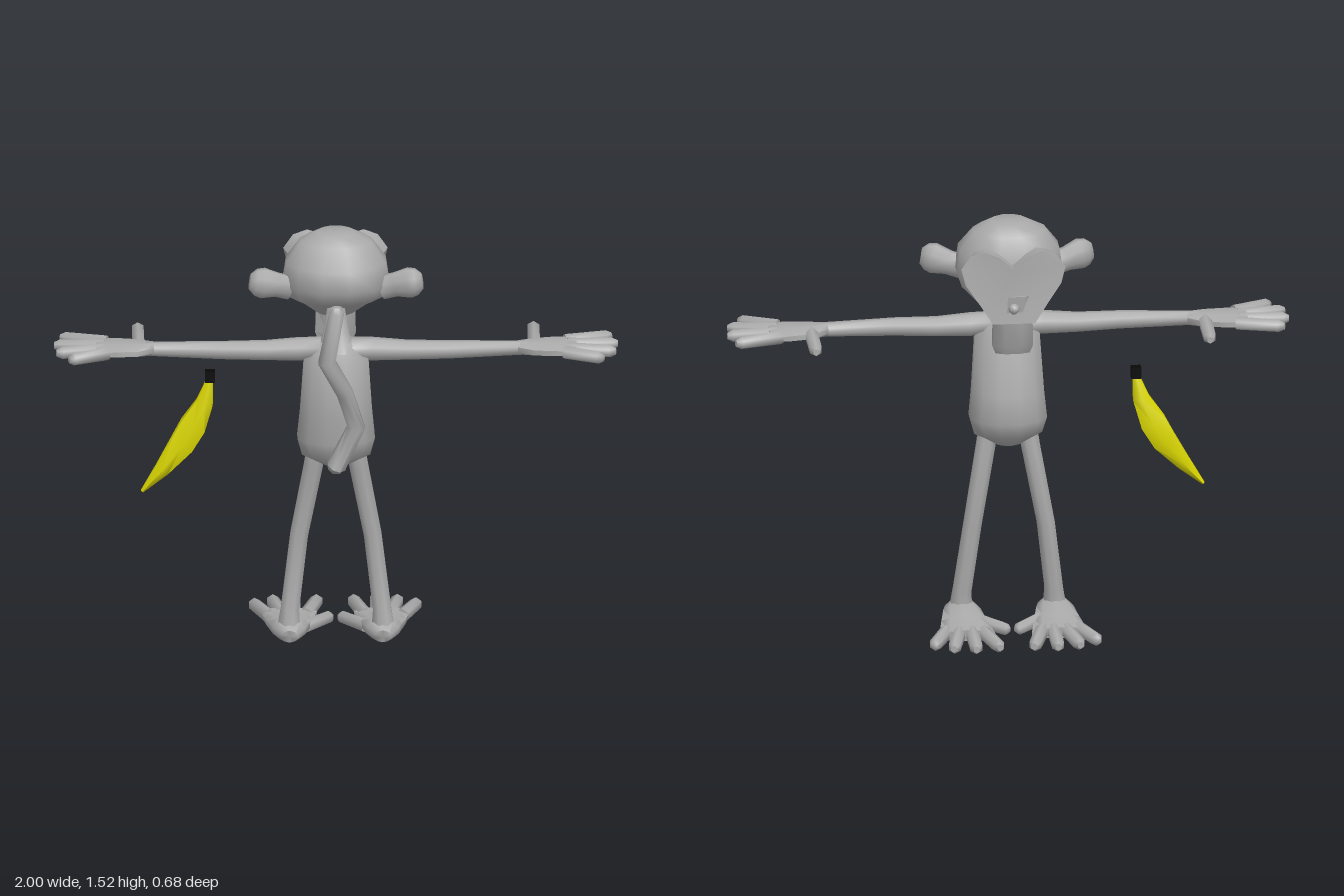
import * as THREE from 'three';
import { toCreasedNormals } from 'three/addons/utils/BufferGeometryUtils.js';

const V = (x, y, z) => new THREE.Vector3(x, y, z);
const X = V(1, 0, 0), Y = V(0, 1, 0), Z = V(0, 0, 1);

// Closed skin over elliptical rings [x, y, z, radiusU, radiusV]; axis fixes the ring planes
function loft(rings, ref, n = 8, axis = null) {
  const pos = [], idx = [], c = rings.map(r => V(r[0], r[1], r[2])), last = rings.length - 1;
  rings.forEach((r, i) => {
    const t = axis || c[Math.min(i + 1, last)].clone().sub(c[Math.max(i - 1, 0)]).normalize();
    const u = ref.clone().cross(t).normalize(), v = t.clone().cross(u);
    for (let j = 0; j < n; j++) {
      const a = (j + 0.5) / n * Math.PI * 2;
      const p = c[i].clone().addScaledVector(u, r[3] * Math.cos(a)).addScaledVector(v, (r[4] ?? r[3]) * Math.sin(a));
      pos.push(p.x, p.y, p.z);
    }
  });
  pos.push(...c[0].toArray(), ...c[last].toArray());
  const s = (last + 1) * n;
  for (let j = 0; j < n; j++) {
    const k = (j + 1) % n;
    for (let i = 0; i < last; i++) {
      const a = i * n + j, b = i * n + k;
      idx.push(a, b, a + n, b, b + n, a + n);
    }
    idx.push(s, k, j, s + 1, last * n + j, last * n + k);
  }
  const g = new THREE.BufferGeometry();
  g.setAttribute('position', new THREE.Float32BufferAttribute(pos, 3));
  g.setIndex(idx);
  return toCreasedNormals(g, 1.15);
}

// Upright form from levels [y, zBack, zFront, halfWidth]
const upright = (levels, n) =>
  loft(levels.map(([y, a, b, w]) => [0, y, (a + b) / 2, w, (a - b) / 2]), Z, n, Y);

export function createModel() {
  const model = new THREE.Group();
  const fur = new THREE.MeshStandardMaterial({ color: 0xaaaaaa });
  const peel = new THREE.MeshStandardMaterial({ color: 0xdcd800 });
  const black = new THREE.MeshStandardMaterial({ color: 0x080808 });
  fur.name = 'grey fur'; peel.name = 'yellow peel'; black.name = 'black stem';
  const add = (name, geo, mat = fur) => {
    const m = new THREE.Mesh(geo, mat);
    m.name = name;
    model.add(m);
    return m;
  };

  // Torso, neck and head (the face looks toward -z)
  add('torso', upright([[0.67, 0.09, 0, 0.05], [0.71, 0.14, -0.04, 0.125], [0.77, 0.155, -0.07, 0.142],
    [0.87, 0.158, -0.05, 0.132], [1.08, 0.168, -0.015, 0.118], [1.14, 0.13, 0.01, 0.07]], 12));
  add('neck', loft([[0, 1.1, 0.08, 0.075], [0, 1.165, 0.07, 0.05], [0, 1.27, 0.04, 0.03]], Z));
  add('skull', upright([[1.18, -0.07, -0.14, 0.06], [1.24, 0.03, -0.15, 0.12], [1.29, 0.14, -0.15, 0.178],
    [1.34, 0.17, -0.155, 0.195], [1.42, 0.167, -0.145, 0.183], [1.49, 0.105, -0.11, 0.13],
    [1.52, 0.065, -0.07, 0.065]], 12));

  // Heart-shaped face mask, bent around the head and tapered toward the back
  const heart = new THREE.Shape([[0, 1.405], [0.05, 1.445], [0.1, 1.465], [0.15, 1.45], [0.185, 1.4],
    [0.17, 1.34], [0.12, 1.27], [0.075, 1.2], [-0.075, 1.2], [-0.12, 1.27], [-0.17, 1.34], [-0.185, 1.4],
    [-0.15, 1.45], [-0.1, 1.465], [-0.05, 1.445]].map(p => new THREE.Vector2(...p)));
  const mask = new THREE.ExtrudeGeometry(heart, { depth: 0.085, bevelEnabled: false });
  const mp = mask.attributes.position;
  for (let i = 0; i < mp.count; i++) {
    const x = mp.getX(i), y = mp.getY(i), back = mp.getZ(i);
    const k = back > 0.01 ? 0.86 : 1;
    mp.setXYZ(i, x * k, 1.36 + (y - 1.36) * k, back - 0.205 + x * x + Math.max(0, y - 1.4) * 0.2);
  }
  mask.computeVertexNormals();
  add('faceMask', toCreasedNormals(mask, 0.7));
  add('snout', upright([[1.07, -0.105, -0.155, 0.066], [1.1, -0.1, -0.168, 0.078], [1.2, -0.085, -0.195, 0.075],
    [1.3, -0.09, -0.203, 0.09]], 8));
  const nose = add('nose', new THREE.SphereGeometry(0.02, 8, 6));
  nose.position.set(0, 1.255, -0.195);

  for (const s of [1, -1]) {
    const side = s > 0 ? 'left' : 'right';
    const part = (name, rings, ref, n) =>
      add(side + name, loft(rings.map(([x, ...r]) => [x * s, ...r]), ref, n));

    part('Ear', [[0.16, 1.33, 0.055, 0.03, 0.045], [0.21, 1.345, 0.065, 0.033, 0.045],
      [0.26, 1.357, 0.08, 0.038, 0.057], [0.285, 1.362, 0.085, 0.034, 0.05], [0.305, 1.365, 0.088, 0.018, 0.03]], Y);

    // Arm, palm, thumb and fingers
    part('Arm', [[0.05, 1.11, 0.075, 0.05, 0.04], [0.13, 1.107, 0.073, 0.042, 0.042], [0.25, 1.103, 0.073, 0.034, 0.036],
      [0.4, 1.105, 0.078, 0.029, 0.033], [0.7, 1.107, 0.065, 0.026, 0.024]], Y);
    part('Palm', [[0.64, 1.107, 0.065, 0.028, 0.024], [0.7, 1.107, 0.06, 0.072, 0.025],
      [0.78, 1.107, 0.055, 0.085, 0.024], [0.85, 1.107, 0.055, 0.09, 0.02]], Y);
    for (const [x0, z0, x1, z1] of [[0.7, 0.04, 0.7, -0.175], [0.81, -0.005, 0.975, -0.055],
      [0.82, 0.037, 0.998, 0.028], [0.82, 0.08, 0.99, 0.112], [0.81, 0.118, 0.945, 0.185]]) {
      const at = (f, r) => [x0 + (x1 - x0) * f, 1.107, z0 + (z1 - z0) * f, r, r * 0.95];
      part(z1 < -0.1 ? 'Thumb' : 'Finger', [at(0, 0.026), at(0.88, 0.024), at(1, 0.013)], Y, 6);
    }

    // Leg, foot and toes
    part('Leg', [[0.068, 0.74, 0.04, 0.036], [0.08, 0.66, 0.037, 0.036], [0.13, 0.385, -0.005, 0.034],
      [0.163, 0.12, 0.04, 0.035], [0.167, 0.04, 0.045, 0.045]], Z);
    part('Foot', [[0.165, 0.035, 0.097, 0.03, 0.025], [0.165, 0.044, 0.06, 0.06, 0.039], [0.165, 0.044, 0.02, 0.07, 0.039],
      [0.165, 0.033, -0.06, 0.085, 0.028], [0.165, 0.027, -0.18, 0.105, 0.021]], Y, 10);
    for (const [x0, z0, x1, z1] of [[0.11, -0.03, 0.015, -0.14], [0.105, -0.15, 0.06, -0.325],
      [0.145, -0.15, 0.145, -0.338], [0.19, -0.15, 0.225, -0.325], [0.235, -0.14, 0.293, -0.285]]) {
      const at = (f, r) => [x0 + (x1 - x0) * f, 0.029, z0 + (z1 - z0) * f, r, r];
      part('Toe', [at(0, 0.026), at(0.88, 0.024), at(1, 0.013)], Y, 6);
    }
  }

  // Kinked tail
  add('tail', loft([[0, 0.69, 0.08, 0.034], [0, 0.695, 0.15, 0.032], [0, 0.727, 0.24, 0.035], [0.07, 0.865, 0.218, 0.034],
    [0.03, 1, 0.243, 0.031], [-0.035, 1.14, 0.31, 0.033], [0, 1.31, 0.28, 0.028], [0, 1.335, 0.278, 0.018]], X));

  // Floating banana
  add('banana', loft([[-0.445, 0.945, -0.065, 0.014], [-0.463, 0.86, -0.067, 0.034, 0.028], [-0.505, 0.77, -0.072, 0.053, 0.037],
    [-0.545, 0.7, -0.07, 0.05, 0.036], [-0.615, 0.61, -0.06, 0.03, 0.025], [-0.685, 0.53, -0.055, 0.006, 0.012]], Z, 6), peel);
  const stem = add('bananaStem', new THREE.BoxGeometry(0.036, 0.04, 0.036), black);
  stem.position.set(-0.445, 0.957, -0.065);
  return model;
}
